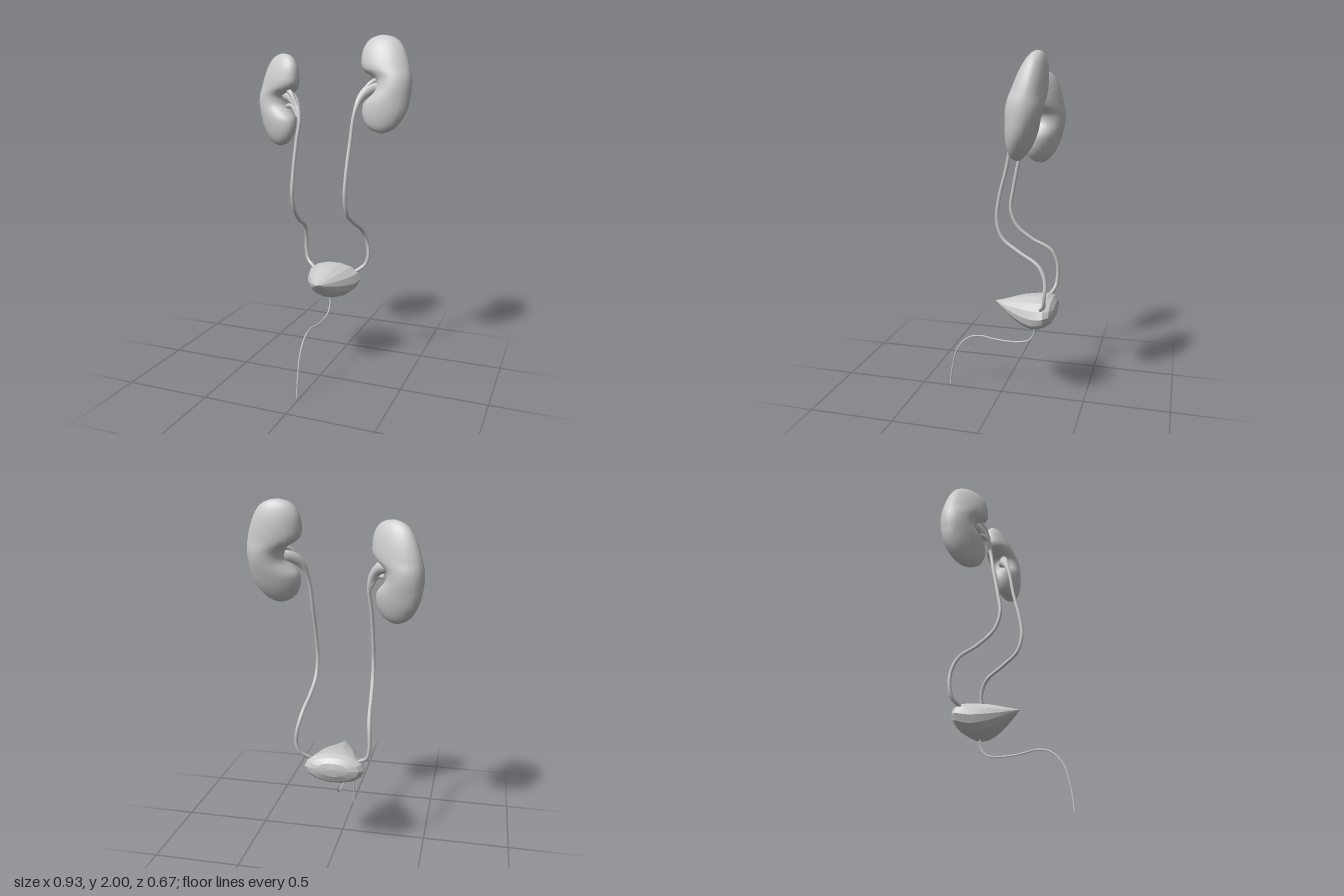
import * as THREE from 'three';
import { toCreasedNormals } from 'three/addons/utils/BufferGeometryUtils.js';

const material = new THREE.MeshStandardMaterial({ color: 0xcccccc });
const v = (p) => new THREE.Vector3(...p);

// Skin a list of closed rings (each an array of [x, y, z])
function loft(rings) {
  const n = rings[0].length, index = [];
  for (let i = 0; i < rings.length - 1; i++) {
    for (let j = 0; j < n; j++) {
      const k = (j + 1) % n, a = i * n, b = a + n;
      index.push(a + j, a + k, b + j, a + k, b + k, b + j);
    }
  }
  const g = new THREE.BufferGeometry();
  g.setAttribute('position', new THREE.Float32BufferAttribute(rings.flat(2), 3));
  g.setIndex(index);
  g.computeVertexNormals();
  return g;
}

function add(group, name, geometry) {
  const mesh = new THREE.Mesh(geometry, material);
  mesh.name = name;
  group.add(mesh);
  return mesh;
}

// Tube along points whose radius follows radiusAt(u)
function taperedTube(points, segments, sides, radiusAt) {
  const curve = new THREE.CatmullRomCurve3(points.map(v));
  const g = new THREE.TubeGeometry(curve, segments, 1, sides);
  const pos = g.attributes.position, p = new THREE.Vector3();
  for (let i = 0; i < pos.count; i++) {
    const u = Math.floor(i / (sides + 1)) / segments;
    const c = curve.getPointAt(u);
    p.fromBufferAttribute(pos, i).sub(c).multiplyScalar(radiusAt(u)).add(c);
    pos.setXYZ(i, p.x, p.y, p.z);
  }
  return g;
}

// Bean outline, top to bottom: [inner x, y, outer x]
const bean = [
  [-0.03, 0.275, -0.03], [-0.085, 0.262, 0.03], [-0.12, 0.235, 0.07],
  [-0.143, 0.19, 0.1], [-0.148, 0.14, 0.122], [-0.145, 0.1, 0.135],
  [-0.125, 0.07, 0.142], [-0.085, 0.045, 0.147], [-0.055, 0.02, 0.15],
  [-0.048, -0.01, 0.151], [-0.055, -0.04, 0.15], [-0.085, -0.075, 0.147],
  [-0.115, -0.11, 0.143], [-0.122, -0.15, 0.132], [-0.115, -0.19, 0.113],
  [-0.09, -0.235, 0.08], [-0.05, -0.262, 0.04], [0, -0.275, 0],
];

function kidneyGeometry(side) {
  const rows = new THREE.CatmullRomCurve3(bean.map(v)).getPoints(51);
  return loft(rows.map(({ x, y, z }) => {
    const depth = 0.09 * Math.sqrt(Math.max(0, 1 - (y / 0.275) ** 2));
    return Array.from({ length: 24 }, (_, j) => {
      const a = (j / 24) * Math.PI * 2;
      return [side * (x + z) / 2 + Math.cos(a) * (z - x) / 2, y, Math.sin(a) * depth];
    });
  }));
}

// Bladder sections, back to front: [z, half width, bottom, top]
const bladderRows = [
  [-0.333, 0, 0.565, 0.565], [-0.325, 0.09, 0.52, 0.6], [-0.305, 0.145, 0.482, 0.625],
  [-0.275, 0.17, 0.46, 0.637], [-0.24, 0.165, 0.442, 0.639], [-0.2, 0.15, 0.433, 0.637],
  [-0.15, 0.128, 0.445, 0.63], [-0.1, 0.1, 0.47, 0.618], [-0.05, 0.068, 0.505, 0.602],
  [0, 0.032, 0.545, 0.588], [0.025, 0.01, 0.568, 0.582], [0.04, 0, 0.578, 0.578],
];

function bladderGeometry() {
  const g = loft(bladderRows.map(([z, w, lo, hi]) => Array.from({ length: 14 }, (_, j) => {
    const a = (j / 14) * Math.PI * 2;
    return [-0.01 + w * Math.cos(a), (lo + hi) / 2 + Math.sin(a) * (hi - lo) / 2, z];
  })));
  return toCreasedNormals(g, 0.3);
}

// Ureter paths, kidney to bladder
const leftPath = [
  [0.29, 1.71, -0.2], [0.235, 1.7, -0.175], [0.19, 1.655, -0.14], [0.165, 1.57, -0.105],
  [0.152, 1.4, -0.07], [0.145, 1.22, -0.025], [0.143, 1.1, -0.012], [0.146, 1, -0.045],
  [0.155, 0.93, -0.14], [0.172, 0.86, -0.255], [0.19, 0.78, -0.295], [0.2, 0.69, -0.293],
  [0.18, 0.635, -0.287], [0.13, 0.595, -0.26],
];
const rightPath = [
  [-0.27, 1.66, -0.15], [-0.225, 1.645, -0.125], [-0.185, 1.6, -0.1], [-0.163, 1.53, -0.085],
  [-0.172, 1.4, -0.06], [-0.179, 1.22, -0.025], [-0.18, 1.1, -0.01], [-0.182, 1, -0.045],
  [-0.19, 0.92, -0.14], [-0.2, 0.86, -0.25], [-0.208, 0.78, -0.29], [-0.21, 0.69, -0.295],
  [-0.193, 0.63, -0.285], [-0.145, 0.595, -0.26],
];
const funnel = (u) => 0.011 + 0.023 * (1 - THREE.MathUtils.smoothstep(u, 0.02, 0.17));

export function createModel() {
  const group = new THREE.Group();

  // Kidneys: the left one sits higher and leans back, the right one is turned
  const left = add(group, 'leftKidney', kidneyGeometry(1));
  left.position.set(0.31, 1.727, -0.212);
  left.rotation.x = -0.2;
  left.scale.setScalar(1.01);
  const right = add(group, 'rightKidney', kidneyGeometry(-1));
  right.position.set(-0.322, 1.63, -0.172);
  right.rotation.set(-0.05, -0.54, 0);
  right.scale.set(1.04, 0.98, 1);

  // Ureters, widening into the renal pelvis at the kidney
  add(group, 'leftUreter', taperedTube(leftPath, 72, 8, funnel));
  add(group, 'rightUreter', taperedTube(rightPath, 72, 8, funnel));

  // Branches that join each pelvis to its kidney
  const branches = [
    ['leftUpperBranch', [[0.27, 1.755, -0.2], [0.235, 1.73, -0.17], [0.19, 1.66, -0.135]]],
    ['rightUpperBranch', [[-0.265, 1.7, -0.13], [-0.225, 1.675, -0.105], [-0.18, 1.6, -0.09]]],
    ['rightLowerBranch', [[-0.25, 1.6, -0.12], [-0.21, 1.6, -0.1], [-0.17, 1.54, -0.085]]],
  ];
  for (const [name, points] of branches) {
    add(group, name, taperedTube(points, 12, 8, () => 0.015));
  }

  // Bladder and urethra
  add(group, 'bladder', bladderGeometry());
  const urethra = [
    [0.45, -0.2], [0.385, -0.193], [0.345, -0.16], [0.33, -0.1], [0.327, -0.02], [0.334, 0.06],
    [0.344, 0.13], [0.33, 0.2], [0.29, 0.25], [0.23, 0.288], [0.15, 0.309], [0.07, 0.323], [0, 0.329],
  ].map(([y, z]) => [-0.01, y, z]);
  add(group, 'urethra', taperedTube(urethra, 60, 6, (u) => (u === 1 ? 0 : 0.005)));

  return group;
}
